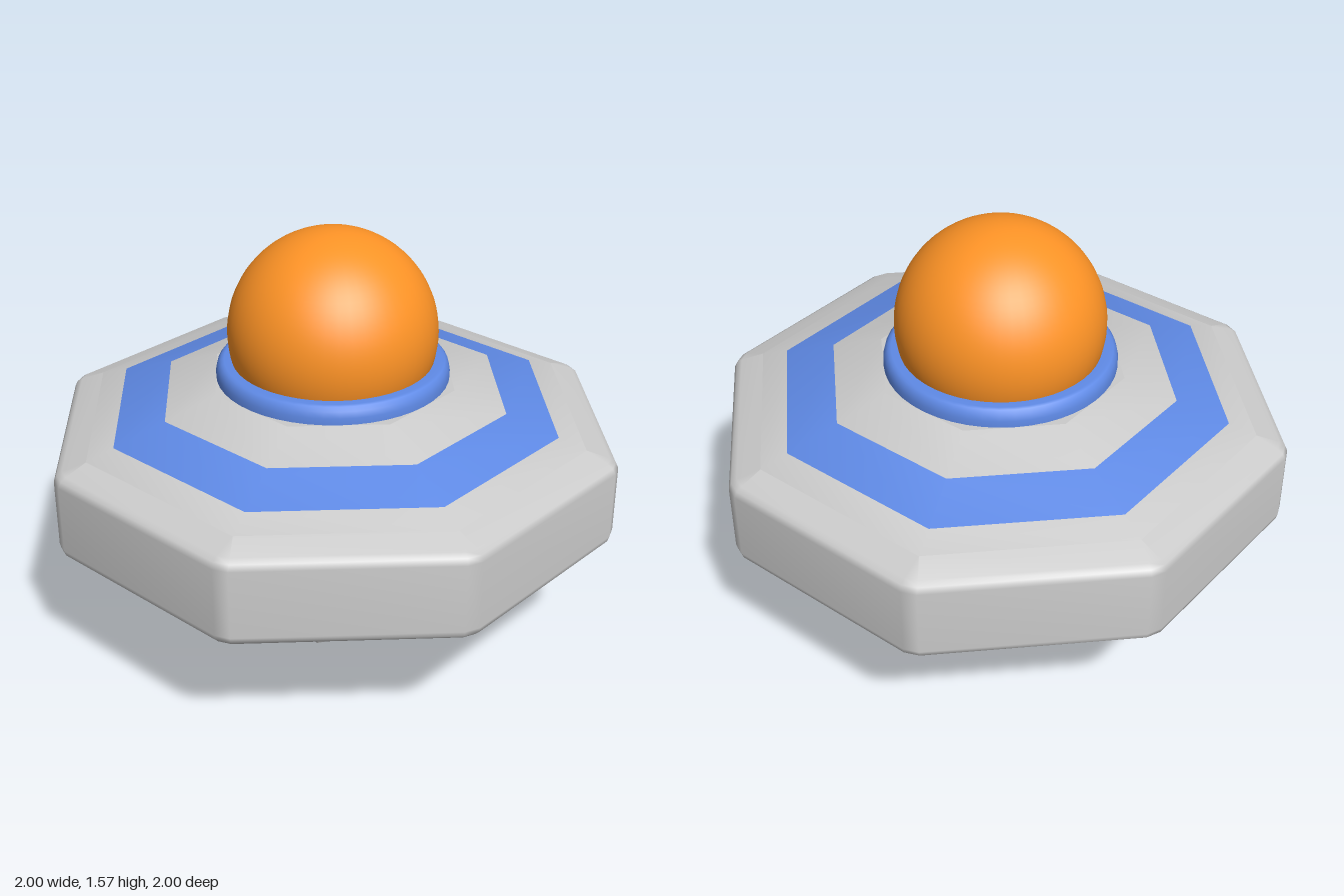
import * as THREE from 'three';

const GREY = 0xcccccc, BLUE = 0x5f8ae6, ORANGE = 0xff9426, DARK = 0x080808;

function addMesh(parent, name, geometry, color = GREY, flatShading = false) {
  const mesh = new THREE.Mesh(geometry, new THREE.MeshStandardMaterial({ color, flatShading }));
  mesh.name = name;
  parent.add(mesh);
  return mesh;
}

// Octagonal skin through rings [apothem, y, corner chamfer], listed from top to bottom
function octagonLoft(rings, chamfered = false) {
  const pos = [], index = [], n = chamfered ? 16 : 8;
  for (const [a, y, c = 0] of rings) {
    const h = a * Math.tan(Math.PI / 8) - c;
    for (let k = 0; k < 8; k++) {
      const cos = Math.cos(k * Math.PI / 4), sin = Math.sin(k * Math.PI / 4);
      for (const s of chamfered ? [-h, h] : [-h]) pos.push(a * cos - s * sin, y, a * sin + s * cos);
    }
  }
  for (let r = 0; r < rings.length - 1; r++) {
    for (let j = 0; j < n; j++) {
      const a = r * n + j, b = r * n + (j + 1) % n;
      index.push(a, b, a + n, b, b + n, a + n);
    }
  }
  const geo = new THREE.BufferGeometry();
  geo.setAttribute('position', new THREE.Float32BufferAttribute(pos, 3));
  geo.setIndex(index);
  geo.computeVertexNormals();
  return geo;
}

function hull() {
  const g = new THREE.Group();
  g.name = 'hull';
  // Heights of the upper and lower slopes at a given apothem
  const up = a => [a, 0.835 + (0.97 - a) * 0.343];
  const low = a => [a, 0.51 - (0.98 - a) * 0.627];

  addMesh(g, 'rim', octagonLoft([
    [...up(0.885), 0.001], [0.97, 0.835, 0.025], [0.99, 0.822, 0.03], [1, 0.8, 0.03],
    [1, 0.545, 0.03], [0.995, 0.525, 0.03], [0.98, 0.51, 0.025], [...low(0.89), 0.001],
  ], true));

  addMesh(g, 'upperOuterSlope', octagonLoft([up(0.79), up(0.885)]));
  addMesh(g, 'upperStripe', octagonLoft([up(0.61), up(0.79)]), BLUE);
  addMesh(g, 'upperInnerSlope', octagonLoft([up(0.43), up(0.61)]));
  addMesh(g, 'topPlate', octagonLoft([[0.001, 1.02], up(0.43)]));

  addMesh(g, 'lowerOuterSlope', octagonLoft([low(0.89), low(0.8)]));
  addMesh(g, 'lowerStripe', octagonLoft([low(0.8), low(0.61)]), BLUE);
  addMesh(g, 'lowerInnerSlope', octagonLoft([low(0.61), [0.43, 0.165]]));

  // Sunken well around the base
  addMesh(g, 'wellLip', octagonLoft([[0.43, 0.165], [0.41, 0.165]]));
  addMesh(g, 'wellWall', octagonLoft([[0.41, 0.165], [0.41, 0.25]]));
  addMesh(g, 'wellCeiling', octagonLoft([[0.41, 0.25], [0.001, 0.25]]), DARK);
  g.rotation.y = -0.006;
  return g;
}

function base() {
  const g = new THREE.Group();
  g.name = 'base';
  const hex = (top, bottom, y0, y1) =>
    new THREE.CylinderGeometry(top, bottom, y1 - y0, 6).rotateY(Math.PI / 6).translate(0, (y0 + y1) / 2, 0);

  addMesh(g, 'bottomPlate', hex(0.297, 0.286, 0, 0.02), GREY, true);
  addMesh(g, 'recessedCore', hex(0.272, 0.25, 0.02, 0.25), GREY, true);

  // Six leaning walls, each with a window opening
  const wall = new THREE.Shape([[-0.148, 0], [0.148, 0], [0.159, 0.23], [-0.159, 0.23]]
    .map(p => new THREE.Vector2(...p)));
  wall.holes.push(new THREE.Path([[-0.095, 0.04], [-0.102, 0.19], [0.102, 0.19], [0.095, 0.04]]
    .map(p => new THREE.Vector2(...p))));
  const wallGeo = new THREE.ExtrudeGeometry(wall, { depth: 0.045, bevelEnabled: false })
    .translate(0, 0, -0.045)
    .rotateX(0.08)
    .translate(0, 0.02, 0.257);
  for (let i = 0; i < 6; i++) {
    addMesh(g, 'windowWall', wallGeo, GREY, true).rotation.y = i * Math.PI / 3;
  }
  return g;
}

export function createModel() {
  const model = new THREE.Group();
  model.name = 'saucer';
  model.add(hull(), base());

  // Rounded collar holding the dome
  const collar = [[0.43, 1.02], [0.43, 1.045], [0.424, 1.068], [0.412, 1.082], [0.4, 1.085], [0.37, 1.085]]
    .map(p => new THREE.Vector2(...p));
  addMesh(model, 'domeCollar', new THREE.LatheGeometry(collar, 48), BLUE);

  const dome = new THREE.SphereGeometry(0.385, 48, 28, 0, Math.PI * 2, 0, 1.98).translate(0, 1.187, 0);
  addMesh(model, 'dome', dome, ORANGE);
  return model;
}
